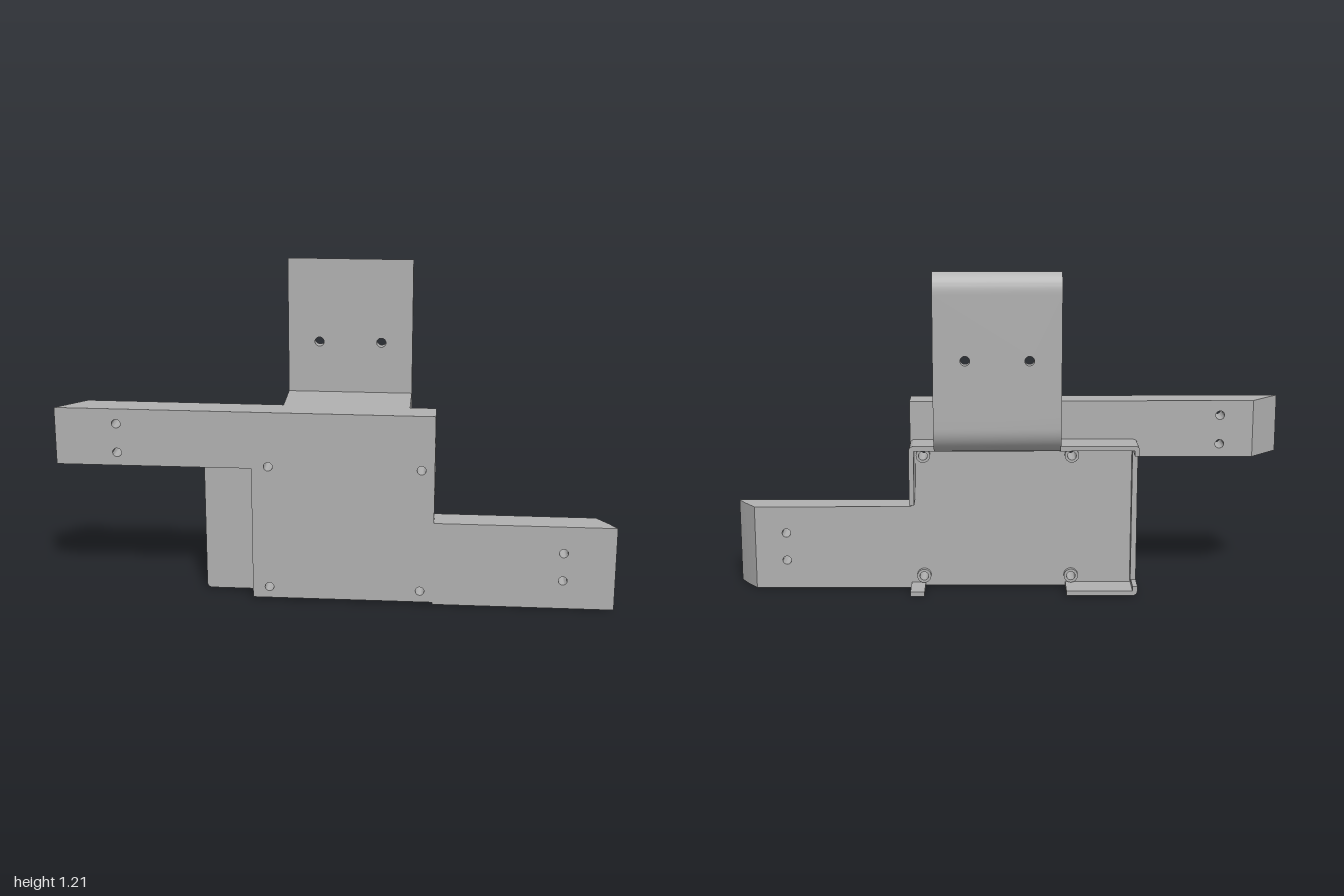
import * as THREE from 'three';
import { toCreasedNormals } from 'three/addons/utils/BufferGeometryUtils.js';

export function createModel() {
  const group = new THREE.Group();
  const grey = new THREE.MeshStandardMaterial({ name: 'grey plastic', color: 0xb0b0b0 });

  const add = (name, geo) => {
    const mesh = new THREE.Mesh(geo, grey);
    mesh.name = name;
    group.add(mesh);
  };
  const polygon = (pts) => new THREE.Shape(pts.map(([a, b]) => new THREE.Vector2(a, b)));
  const extrude = (shape, depth) =>
    toCreasedNormals(new THREE.ExtrudeGeometry(shape, { depth, bevelEnabled: false, curveSegments: 12 }), 0.6);
  const punch = (shape, holes, r) => {
    for (const [x, y] of holes) shape.holes.push(new THREE.Path().absarc(x, y, r, 0, Math.PI * 2, true));
    return shape;
  };
  // Extrusions along z, x and y between two limits
  const alongZ = (name, shape, z0, z1) => add(name, extrude(shape, z1 - z0).translate(0, 0, z0));
  const alongX = (name, shape, x0, x1) => add(name, extrude(shape, x1 - x0).rotateY(-Math.PI / 2).translate(x1, 0, 0));
  const alongY = (name, shape, y0, y1) => add(name, extrude(shape, y1 - y0).rotateX(Math.PI / 2).translate(0, y1, 0));
  const box = (name, x0, x1, y0, y1, z0, z1) =>
    add(name, new THREE.BoxGeometry(x1 - x0, y1 - y0, z1 - z0)
      .translate((x0 + x1) / 2, (y0 + y1) / 2, (z0 + z1) / 2));

  const back = 0.06, front = 0.16, lipBack = -0.052;
  const bodyHoles = [[-0.24, 0.05], [0.305, 0.05], [-0.24, 0.51], [0.305, 0.51]];
  const armHoles = [[-0.78, 0.55], [-0.78, 0.657], [0.815, 0.107], [0.815, 0.212]];

  // Stepped plate with its two arms
  const plate = polygon([
    [-0.9, 0.502], [-0.3, 0.502], [-0.3, 0.008], [0.35, 0.008], [0.35, 0],
    [0.93, 0], [0.93, 0.313], [0.352, 0.313], [0.352, 0.71], [-0.9, 0.712],
  ]);
  alongZ('steppedPlate', punch(plate, [...bodyHoles, ...armHoles], 0.016), back, front);

  // Slanted arm ends
  alongY('upperArmEnd', polygon([[-0.9, back], [-0.9, front], [-1, front]]), 0.502, 0.712);
  alongY('lowerArmEnd', polygon([[0.93, back], [0.972, 0.115], [1, front], [0.93, front]]), 0, 0.313);

  // Screw bosses behind the plate
  for (const [x, y] of bodyHoles) {
    const ring = new THREE.Shape().absarc(x, y, 0.026, 0, Math.PI * 2, false);
    alongZ('screwBoss', punch(ring, [[x, y]], 0.016), 0.043, back);
  }

  // Thin side panel with a rounded lower corner
  const panel = new THREE.Shape();
  panel.moveTo(-0.46, 0.008);
  panel.lineTo(-0.3, 0.008);
  panel.lineTo(-0.3, 0.56);
  panel.lineTo(-0.48, 0.56);
  panel.lineTo(-0.48, 0.028);
  panel.quadraticCurveTo(-0.48, 0.008, -0.46, 0.008);
  alongZ('sidePanel', panel, back, 0.085);

  // Tray rim: side wall plus upper and lower lips with short returns
  box('trayWall', -0.48, -0.46, 0.03, 0.55, 0.028, back);
  const lowerLip = new THREE.Shape();
  lowerLip.moveTo(-0.46, 0.005);
  lowerLip.lineTo(-0.22, 0.005);
  lowerLip.lineTo(-0.22, 0.022);
  lowerLip.lineTo(-0.462, 0.022);
  lowerLip.lineTo(-0.462, 0.04);
  lowerLip.lineTo(-0.48, 0.04);
  lowerLip.lineTo(-0.48, 0.025);
  lowerLip.quadraticCurveTo(-0.48, 0.005, -0.46, 0.005);
  alongZ('lowerLip', lowerLip, lipBack, back);
  const upperLip = new THREE.Shape();
  upperLip.moveTo(-0.19, 0.568);
  upperLip.lineTo(-0.46, 0.568);
  upperLip.quadraticCurveTo(-0.48, 0.568, -0.48, 0.548);
  upperLip.lineTo(-0.48, 0.53);
  upperLip.lineTo(-0.462, 0.53);
  upperLip.lineTo(-0.462, 0.55);
  upperLip.lineTo(-0.19, 0.55);
  alongZ('upperLip', upperLip, lipBack, back);
  box('lowerTab', 0.3, 0.352, 0.003, 0.02, lipBack, back);

  // Side clip with a rounded shoulder
  const clip = new THREE.Shape();
  clip.moveTo(0.334, 0.348);
  clip.lineTo(0.352, 0.348);
  clip.lineTo(0.352, 0.548);
  clip.quadraticCurveTo(0.352, 0.568, 0.332, 0.568);
  clip.lineTo(0.255, 0.568);
  clip.lineTo(0.255, 0.55);
  clip.lineTo(0.334, 0.55);
  alongZ('sideClip', clip, lipBack, back);

  // Upright bracket: curved foot, drilled tongue and rounded tip
  const x0 = -0.193, x1 = 0.258, tBack = -0.16, tFront = -0.125;
  const foot = new THREE.Shape();
  foot.moveTo(back, 0.71);
  foot.lineTo(tBack, 0.71);
  foot.lineTo(tBack, 0.655);
  foot.bezierCurveTo(tBack, 0.6, -0.115, 0.555, -0.06, 0.555);
  foot.lineTo(back, 0.555);
  alongX('bracketFoot', foot, x0, x1);
  const tongue = polygon([[x0, 0.71], [x1, 0.71], [x1, 1.13], [x0, 1.13]]);
  alongZ('bracketTongue', punch(tongue, [[-0.08, 0.898], [0.145, 0.898]], 0.017), tBack, tFront);
  const tip = new THREE.Shape();
  tip.moveTo(tFront, 1.13);
  tip.lineTo(tFront, 1.205);
  tip.quadraticCurveTo(tBack, 1.18, tBack, 1.13);
  alongX('bracketTip', tip, x0, x1);

  return group;
}
